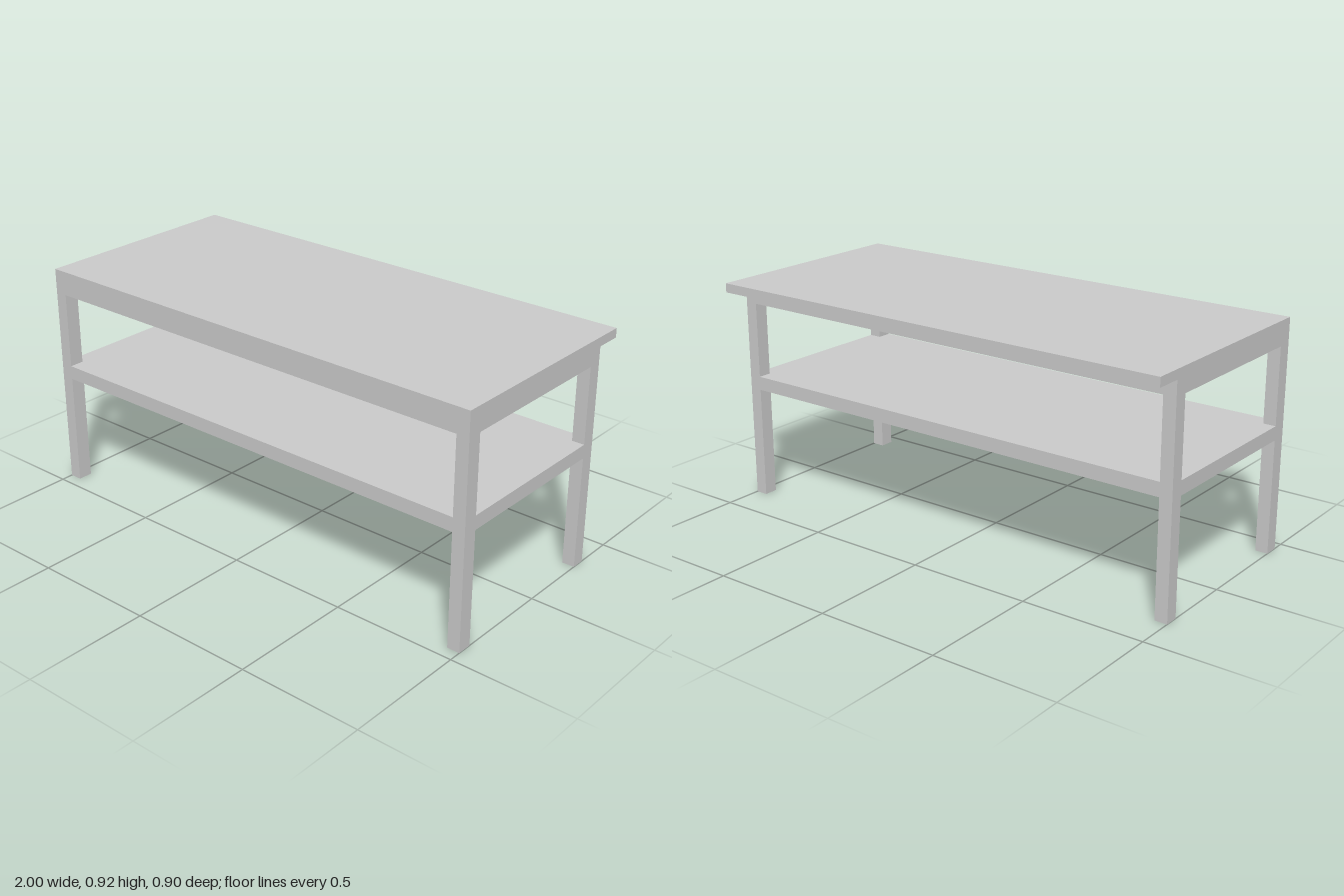
import * as THREE from 'three';

const HALF_W = 1, FRONT = 0.45, BACK = -0.45;
const FRAME_BACK = -0.343;               // rear face of the frame, behind it the top overhangs
const LEG_X = 0.051, FRONT_LEG_Z = 0.06, BACK_LEG_Z = 0.056;
const TOP_Y = 0.92, TOP_UNDER = 0.883;

const material = new THREE.MeshStandardMaterial({ color: 0xcccccc });

// Box given by its minimum and maximum corners
function box(name, x0, x1, y0, y1, z0, z1) {
  const geometry = new THREE.BoxGeometry(x1 - x0, y1 - y0, z1 - z0);
  geometry.translate((x0 + x1) / 2, (y0 + y1) / 2, (z0 + z1) / 2);
  const mesh = new THREE.Mesh(geometry, material);
  mesh.name = name;
  return mesh;
}

// Slab flush with the outside of the legs, notched at its corners to fit round them
function notchedSlab(name, y0, y1) {
  const w = HALF_W, i = HALF_W - LEG_X;
  const f = FRONT - FRONT_LEG_Z, b = FRAME_BACK + BACK_LEG_Z;
  const outline = [
    [-i, FRONT], [-i, f], [-w, f], [-w, b], [-i, b], [-i, FRAME_BACK],
    [i, FRAME_BACK], [i, b], [w, b], [w, f], [i, f], [i, FRONT],
  ];
  const shape = new THREE.Shape(outline.map(([x, z]) => new THREE.Vector2(x, -z)));
  const geometry = new THREE.ExtrudeGeometry(shape, { depth: y1 - y0, bevelEnabled: false });
  geometry.rotateX(-Math.PI / 2).translate(0, y0, 0);
  const mesh = new THREE.Mesh(geometry, material);
  mesh.name = name;
  return mesh;
}

export function createModel() {
  const table = new THREE.Group();
  table.name = 'table';

  // Top overhanging at the back, with the thick frame below and the lower shelf
  table.add(box('tableTop', -HALF_W, HALF_W, TOP_UNDER, TOP_Y, BACK, FRONT));
  table.add(notchedSlab('topFrame', 0.822, TOP_UNDER));
  table.add(notchedSlab('shelf', 0.459, 0.515));

  // Four legs
  for (const [side, x0] of [['left', HALF_W - LEG_X], ['right', -HALF_W]]) {
    table.add(box(`${side}FrontLeg`, x0, x0 + LEG_X, 0, TOP_UNDER, FRONT - FRONT_LEG_Z, FRONT));
    table.add(box(`${side}BackLeg`, x0, x0 + LEG_X, 0, TOP_UNDER, FRAME_BACK, FRAME_BACK + BACK_LEG_Z));
  }
  return table;
}
